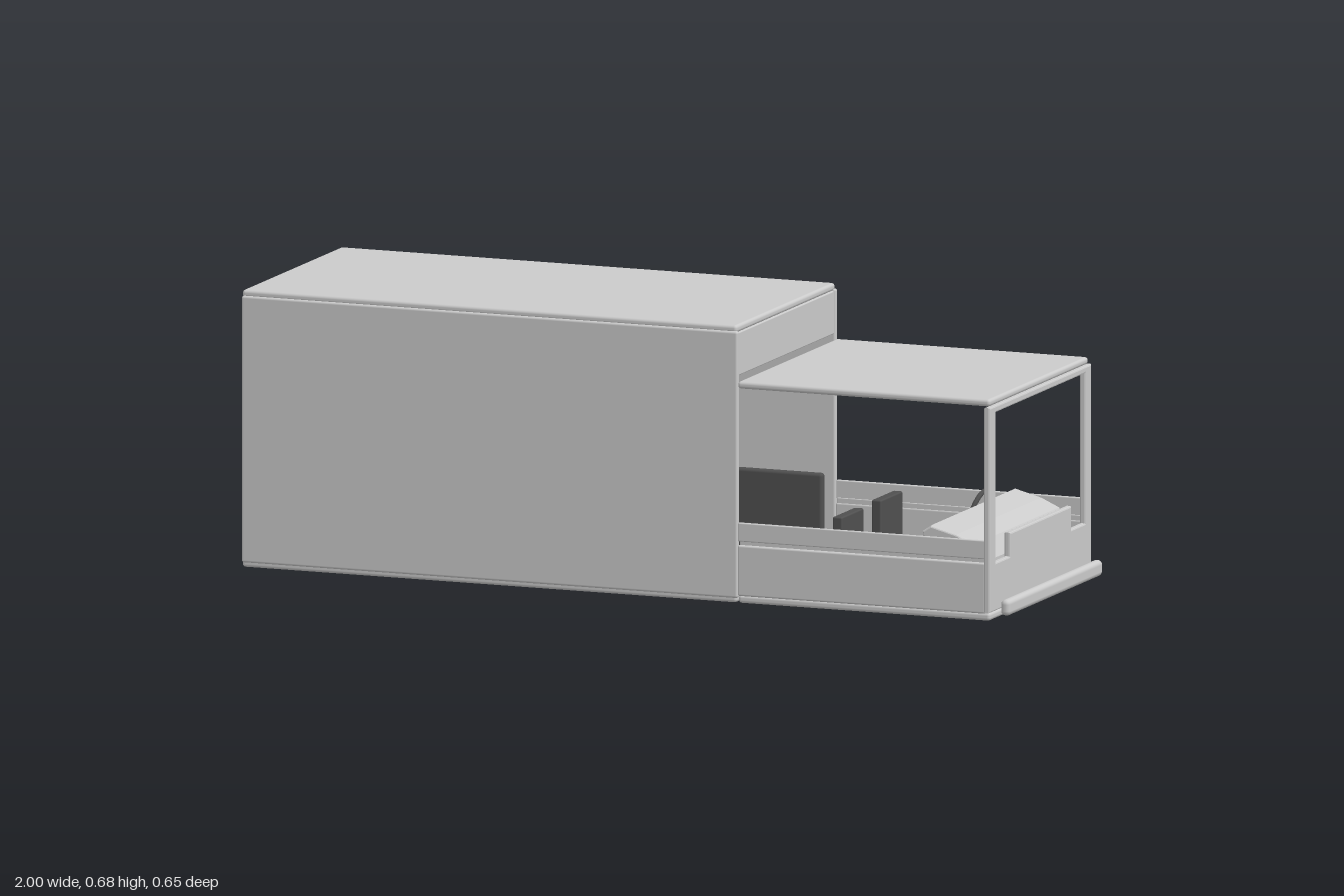
import * as THREE from 'three';
import { RoundedBoxGeometry } from 'three/addons/geometries/RoundedBoxGeometry.js';

const grey = new THREE.MeshStandardMaterial({ color: 0xcccccc });
const dark = new THREE.MeshStandardMaterial({ color: 0x505050 });

export function createModel() {
  const model = new THREE.Group();

  const add = (name, geometry, material = grey) => {
    const mesh = new THREE.Mesh(geometry, material);
    mesh.name = name;
    model.add(mesh);
    return mesh;
  };

  // Softly rounded box given by its limits along each axis
  const block = (name, [x0, x1], [y0, y1], [z0, z1], material = grey, radius = 0.008) => {
    const size = [x1 - x0, y1 - y0, z1 - z0];
    const r = Math.min(radius, Math.min(...size) * 0.49);
    const mesh = add(name, new RoundedBoxGeometry(...size, 2, r), material);
    mesh.position.set((x0 + x1) / 2, (y0 + y1) / 2, (z0 + z1) / 2);
    return mesh;
  };

  // Cargo body, open at the rear and towards the cab
  block('cargoFloor', [-1, 0.293], [0, 0.02], [-0.317, 0.317]);
  block('cargoRoof', [-1, 0.293], [0.663, 0.682], [-0.317, 0.317]);
  block('cargoHeader', [0.275, 0.293], [0.557, 0.663], [-0.317, 0.317], grey, 0.003);

  // Cab floor and roof
  block('cabFloor', [0.297, 0.955], [0, 0.02], [-0.317, 0.317]);
  block('cabRoof', [0.295, 0.955], [0.527, 0.545], [-0.317, 0.317]);

  // Parts mirrored on both sides
  for (const [side, s] of [['left', 1], ['right', -1]]) {
    const across = (a, b) => (s > 0 ? [a, b] : [-b, -a]);
    block(side + 'CargoWall', [-1, 0.297], [0.012, 0.668], across(0.306, 0.322), grey, 0.006);
    block(side + 'LowerSidePanel', [0.297, 0.945], [0.018, 0.143], across(0.306, 0.322), grey, 0.005);
    block(side + 'BeltPanel', [0.297, 0.945], [0.152, 0.198], across(0.31, 0.32), grey, 0.003);
    block(side + 'PanelJoint', [0.3, 0.94], [0.14, 0.155], across(0.308, 0.314), grey, 0.002);
  }

  // Front frame: one plate with the windscreen opening and raised centre
  const frame = new THREE.Shape([
    [-0.323, 0.025], [0.323, 0.025], [0.323, 0.522], [-0.323, 0.522],
  ].map(([z, y]) => new THREE.Vector2(z, y)));
  frame.holes.push(new THREE.Path([
    [-0.291, 0.136], [-0.291, 0.513], [0.291, 0.513], [0.291, 0.136],
    [0.193, 0.136], [0.193, 0.194], [-0.193, 0.194], [-0.193, 0.136],
  ].map(([z, y]) => new THREE.Vector2(z, y))));
  const frameGeometry = new THREE.ExtrudeGeometry(frame, {
    depth: 0.008, bevelThickness: 0.004, bevelSize: 0.004, bevelSegments: 2,
  });
  frameGeometry.rotateY(Math.PI / 2);
  add('frontFrame', frameGeometry).position.x = 0.947;

  // Bumper bars
  block('frontBumper', [0.975, 1], [0.012, 0.052], [-0.302, 0.302], grey, 0.012);
  block('rearBar', [-0.915, -0.89], [0.012, 0.052], [-0.302, 0.302], grey, 0.012);

  // Dashboard, a wedge profile drawn across the cab
  const dash = new THREE.Shape([
    [0.785, 0.11], [0.93, 0.11], [0.93, 0.14], [0.905, 0.18],
    [0.86, 0.2], [0.795, 0.217], [0.777, 0.205],
  ].map(([x, y]) => new THREE.Vector2(x, y)));
  add('dashboard', new THREE.ExtrudeGeometry(dash, {
    depth: 0.53, bevelThickness: 0.01, bevelSize: 0.005, bevelSegments: 3,
  })).position.z = -0.238;

  // Steering wheel on a tilted column
  const steering = new THREE.Group();
  steering.name = 'steering';
  const rim = new THREE.Mesh(new THREE.TorusGeometry(0.053, 0.006, 10, 32), dark);
  rim.name = 'steeringWheel';
  rim.rotation.y = Math.PI / 2;
  const column = new THREE.Mesh(new THREE.CylinderGeometry(0.008, 0.008, 0.07, 12), grey);
  column.name = 'steeringColumn';
  column.rotation.z = Math.PI / 2;
  column.position.x = 0.037;
  steering.add(rim, column);
  steering.position.set(0.755, 0.188, -0.105);
  steering.rotation.z = -0.3;
  model.add(steering);

  // Two cab seats
  for (const [side, z] of [['driver', -0.11], ['passenger', 0.14]]) {
    block(side + 'SeatCushion', [0.52, 0.66], [0.02, 0.075], [z - 0.07, z + 0.07]);
    block(side + 'SeatBack', [0.5, 0.525], [0.06, 0.208], [z - 0.07, z + 0.07], dark, 0.004);
  }

  // Bench along the right wall
  block('benchBack', [-0.4, 0.285], [0.06, 0.222], [-0.272, -0.25], dark);
  block('benchSeat', [-0.4, 0.285], [0.02, 0.09], [-0.252, -0.16], dark);

  return model;
}
